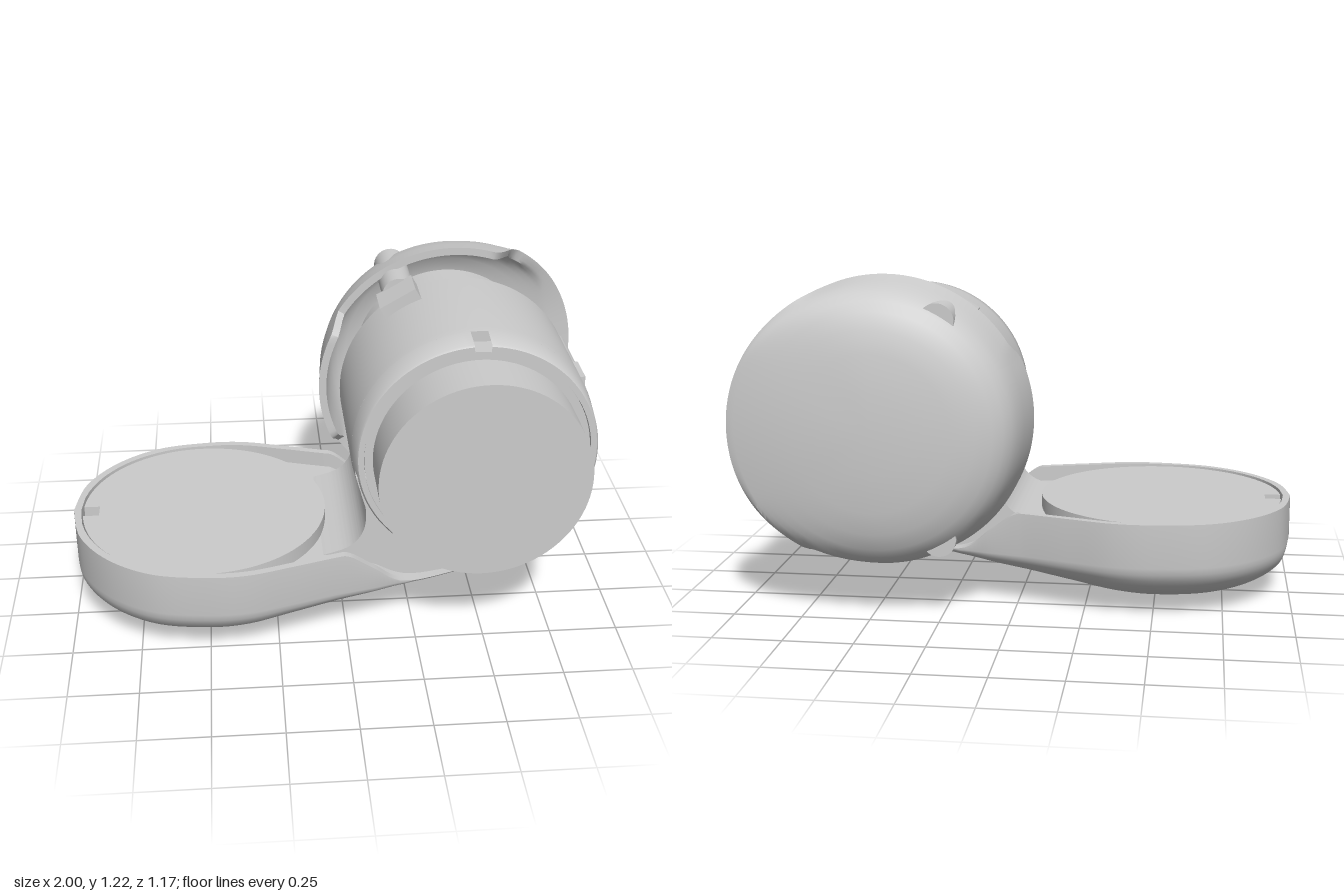
import * as THREE from 'three';
import { toCreasedNormals } from 'three/addons/utils/BufferGeometryUtils.js';

const CX = 0.47, CY = 0.695, ZC = 0.09; // barrel axis, arm mid-plane
const smooth = THREE.MathUtils.smoothstep;
const V2 = (p) => new THREE.Vector2(p[0], p[1]);

function add(parent, name, geometry, angle = 0.6) {
  const material = new THREE.MeshStandardMaterial({ color: 0xcccccc, side: THREE.DoubleSide });
  const mesh = new THREE.Mesh(toCreasedNormals(geometry, angle), material);
  mesh.name = name;
  parent.add(mesh);
  return mesh;
}

// Surface from rows of points, each row being one cross-section
function skin(rows) {
  const n = rows[0].length, index = [];
  for (let i = 0; i < rows.length - 1; i++) {
    for (let j = 0; j < n - 1; j++) {
      const a = i * n + j, b = a + n;
      index.push(a, b, a + 1, b, b + 1, a + 1);
    }
  }
  const g = new THREE.BufferGeometry();
  g.setAttribute('position', new THREE.Float32BufferAttribute(rows.flat(2), 3));
  g.setIndex(index);
  return g;
}

// Turned part on the barrel axis; profile is [radius, z]
function turned(profile, start = 0, length = Math.PI * 2) {
  return new THREE.LatheGeometry(profile.map(V2), 96, start, length)
    .rotateX(Math.PI / 2).translate(CX, CY, 0);
}

// Arm: bowl-shaped pan that narrows into a tongue below the barrel
function armGeometry() {
  // x, half width, bottom, top edge
  const stations = [
    [-1, 0, 0.2, 0.36], [-0.963, 0.188, 0.11, 0.36], [-0.856, 0.346, 0.05, 0.36],
    [-0.698, 0.453, 0.015, 0.36], [-0.51, 0.49, 0.005, 0.36], [-0.36, 0.488, 0.018, 0.36],
    [-0.2, 0.445, 0.05, 0.36], [-0.05, 0.4, 0.08, 0.36], [0.01, 0.385, 0.092, 0.352],
    [0.1, 0.365, 0.112, 0.285], [0.22, 0.335, 0.145, 0.205], [0.45, 0.31, 0.205, 0.235],
    [0.7, 0.29, 0.275, 0.285],
  ];
  const plan = new THREE.SplineCurve(stations.map((s) => new THREE.Vector2(s[0], s[1])));
  const side = new THREE.SplineCurve(stations.map((s) => new THREE.Vector2(s[2], s[3])));
  const rows = [], steps = 84;
  for (let i = 0; i <= steps; i++) {
    const { x, y: w } = plan.getPoint(i / steps);
    const { x: bottom, y: rim } = side.getPoint(i / steps);
    const top = Math.min(rim, 0.36);
    const shoulder = x > 0.22 ? top : Math.min(0.2, top);
    const inner = x < -0.51 ? Math.sqrt(Math.max(0, 0.462 ** 2 - (x + 0.51) ** 2)) : Math.max(0, w - 0.028);
    const floor = inner > 0 ? top - 0.06 * (1 - smooth(x, 0, 0.2)) : top;
    const half = [];
    for (let k = 0; k <= 12; k++) {
      const a = (k / 12) * Math.PI / 2;
      half.push([x, shoulder - (shoulder - bottom) * Math.cos(a), w * Math.sin(a)]);
    }
    half.push([x, top, w], [x, top, inner], [x, floor, inner], [x, floor, 0]);
    const mirrored = half.slice(0, -1).reverse().map(([px, py, pz]) => [px, py, -pz]);
    rows.push([...half, ...mirrored].map(([px, py, pz]) => [px, py, pz + ZC]));
  }
  return skin(rows);
}

// End cap: domed shell whose rim is cut back towards +x
function capGeometry() {
  const round = [[0, -0.59], [0.15, -0.587], [0.28, -0.575], [0.36, -0.56], [0.42, -0.537],
    [0.455, -0.513], [0.48, -0.48], [0.496, -0.44], [0.51, -0.37], [0.525, 0]];
  const last = round.length - 1, rows = [], steps = 144;
  for (let i = 0; i <= steps; i++) {
    const t = (i / steps) * Math.PI * 2, c = Math.cos(t), s = Math.sin(t);
    const dx = 0.525 * c;
    const rim = -0.29 + 0.09 * smooth(-dx, 0.44, 0.48)
      - 0.16 * smooth(dx, 0.15, 0.29) - 0.07 * smooth(dx, 0.24, 0.53);
    const flare = smooth(dx, 0.0, 0.46);
    const outer = round.map(([r, z], k) => {
      const shallow = -0.59 + 0.068 * (r / 0.525) ** 2;
      const zz = k === last ? rim : z + (shallow - z) * flare;
      return [r, Math.min(zz, rim - 0.003 * (last - k))];
    });
    const inner = outer.map(([r, z]) => [r * 0.945, Math.min(z + 0.025, rim)]).reverse();
    rows.push([...outer, ...inner].map(([r, z]) => [CX + r * c, CY + r * s, z]));
  }
  return skin(rows);
}

// Round plate with a small notch at its outer end
function plateGeometry() {
  const r = 0.455, a = 0.07;
  const shape = new THREE.Shape();
  shape.absarc(0, 0, r, -Math.PI + a, Math.PI - a, false);
  shape.lineTo(-0.395, r * Math.sin(a));
  shape.lineTo(-0.395, -r * Math.sin(a));
  shape.closePath();
  return new THREE.ExtrudeGeometry(shape, { depth: 0.07, bevelEnabled: false, curveSegments: 80 })
    .rotateX(-Math.PI / 2).translate(-0.51, 0.283, ZC);
}

// Saddle that fairs the arm into the side of the barrel
function saddleGeometry() {
  const shape = new THREE.Shape();
  shape.moveTo(-0.08, 0.2);
  shape.lineTo(-0.08, 0.3);
  shape.splineThru([[0, 0.325], [0.045, 0.36], [0.07, 0.41], [0.075, 0.48], [0.06, 0.54], [0.038, 0.62]].map(V2));
  shape.lineTo(0.2, 0.6);
  shape.lineTo(0.24, 0.36);
  shape.lineTo(0.4, 0.3);
  shape.lineTo(0.66, 0.285);
  shape.lineTo(0.3, 0.2);
  shape.closePath();
  return new THREE.ExtrudeGeometry(shape, { depth: 0.57, bevelEnabled: false, curveSegments: 8 })
    .translate(0, 0, -0.195);
}

export function createModel() {
  const model = new THREE.Group();
  model.name = 'jointedArm';

  add(model, 'arm', armGeometry(), 0.7);
  add(model, 'armPlate', plateGeometry());
  add(model, 'saddle', saddleGeometry());

  // Barrel sleeve, with a slot cut into its front edge
  add(model, 'barrel', turned([[0.36, -0.2], [0.437, -0.2], [0.437, -0.193], [0.445, -0.19],
    [0.445, 0.26], [0.442, 0.29], [0.4, 0.29]]));
  add(model, 'barrelFrontRim', turned([[0.405, 0.29], [0.442, 0.29], [0.432, 0.378], [0.426, 0.385],
    [0.405, 0.385], [0.405, 0.29]], Math.PI + 0.07, Math.PI * 2 - 0.14));
  add(model, 'barrelInnerRing', turned([[0.403, 0.28], [0.403, 0.375], [0.37, 0.375]]));

  // Core running through the barrel
  add(model, 'core', turned([[0, -0.5], [0.353, -0.5], [0.353, -0.39], [0.373, -0.39],
    [0.373, 0.57], [0, 0.57]]));

  add(model, 'endCap', capGeometry(), 0.7);

  // Clips and rods joining the barrel to the cap
  for (let i = 0; i < 3; i++) {
    const joint = new THREE.Group();
    joint.name = 'capJoint' + (i + 1);
    joint.position.set(CX, CY, 0);
    joint.rotation.z = i * Math.PI * 2 / 3;
    add(joint, 'clip', new THREE.BoxGeometry(0.07, 0.15, 0.135).translate(0.45, 0, -0.1315));
    add(joint, 'rod', new THREE.CylinderGeometry(0.062, 0.062, 0.31, 32)
      .rotateX(Math.PI / 2).translate(0.445, 0, -0.345));
    model.add(joint);
  }
  return model;
}
